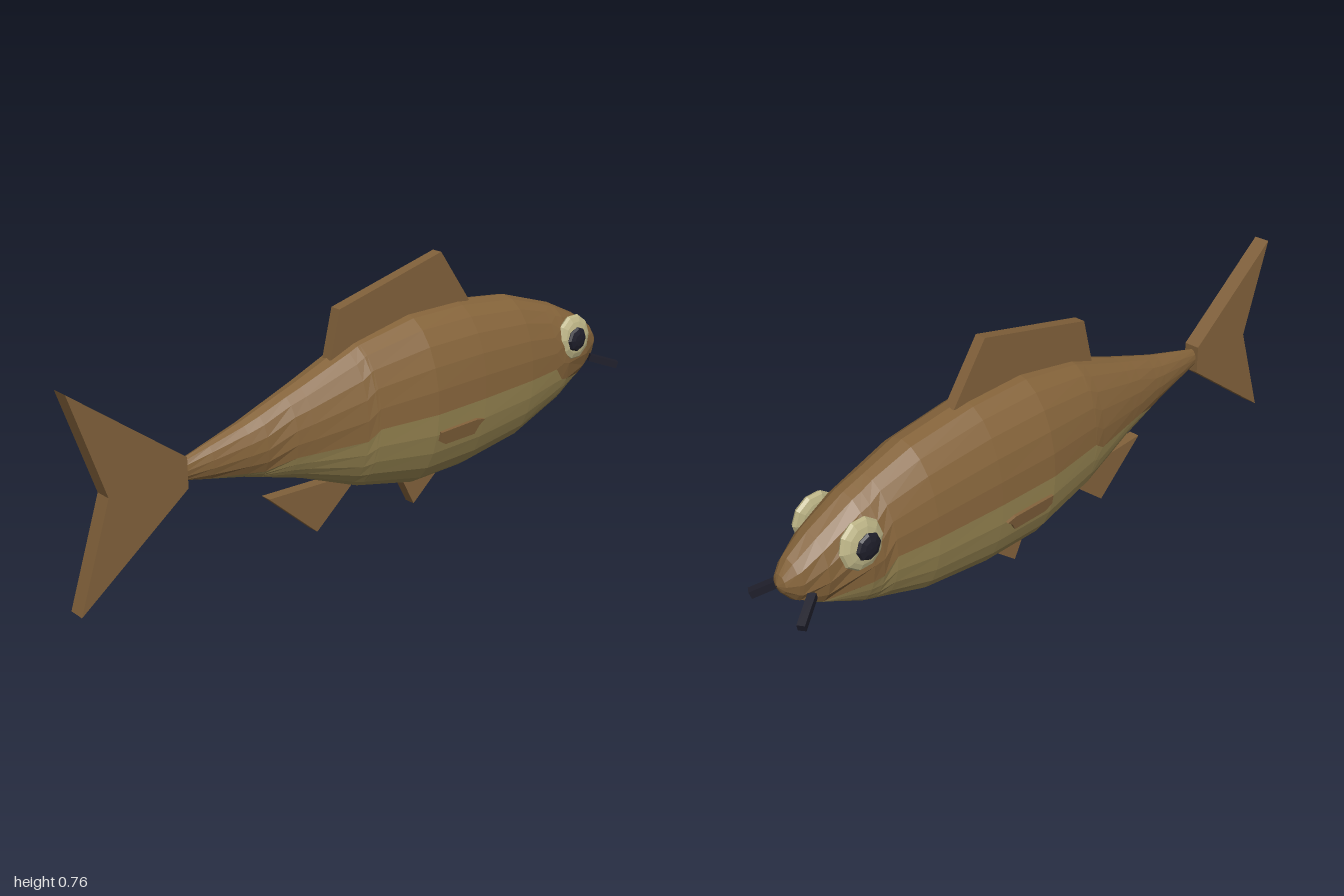
import * as THREE from 'three';

const brown = new THREE.MeshStandardMaterial({ name: 'brown skin', color: 0x84633a });
const finBrown = new THREE.MeshStandardMaterial({ name: 'fin brown', color: 0x80603a });
const olive = new THREE.MeshStandardMaterial({ name: 'pale belly', color: 0x958350 });
const cream = new THREE.MeshStandardMaterial({ name: 'eye cream', color: 0xbab284 });
const dark = new THREE.MeshStandardMaterial({ name: 'dark', color: 0x1e1e2a });

// Body sections: x, top, bottom, half width
const SECTIONS = [
  [-0.662, 0.343, 0.341, 0.001], [-0.66, 0.372, 0.312, 0.018], [-0.47, 0.425, 0.268, 0.05],
  [-0.28, 0.49, 0.21, 0.085], [-0.08, 0.565, 0.128, 0.122], [0.13, 0.605, 0.078, 0.15],
  [0.33, 0.603, 0.078, 0.146], [0.55, 0.575, 0.107, 0.133], [0.75, 0.51, 0.178, 0.106],
  [0.87, 0.452, 0.238, 0.076], [0.94, 0.405, 0.28, 0.045], [0.968, 0.37, 0.315, 0.025],
  [0.978, 0.343, 0.338, 0.002],
];
// Height of the border between back and belly: x, y
const SEAM = [
  [-0.662, 0.3], [-0.58, 0.298], [-0.42, 0.28], [-0.33, 0.303], [-0.11, 0.303], [-0.07, 0.332],
  [0.68, 0.33], [0.72, 0.285], [0.87, 0.255], [0.93, 0.26], [0.978, 0.26],
];

// Linear lookup in a table sorted by its first column
function sample(table, x, col) {
  let i = 0;
  while (i < table.length - 2 && table[i + 1][0] < x) i++;
  const a = table[i], b = table[i + 1];
  return THREE.MathUtils.lerp(a[col], b[col], (x - a[0]) / (b[0] - a[0]));
}

// Faceted shell of the body, either above or below the seam
function bodyShell(isBelly) {
  const xs = [...new Set([...SECTIONS, ...SEAM].map(r => r[0]))].sort((a, b) => a - b);
  const n = 12;
  const rings = xs.map(x => {
    const top = sample(SECTIONS, x, 1), bottom = sample(SECTIONS, x, 2), w = sample(SECTIONS, x, 3);
    const c = (top + bottom) / 2, h = (top - bottom) / 2;
    const s = Math.asin(THREE.MathUtils.clamp((sample(SEAM, x, 1) - c) / h, -1, 1));
    const t0 = isBelly ? -Math.PI - s : s, t1 = isBelly ? s : Math.PI - s;
    return Array.from({ length: n + 1 }, (_, j) => {
      const t = t0 + (t1 - t0) * j / n;
      return new THREE.Vector3(x, c + h * Math.sin(t), w * Math.cos(t));
    });
  });
  const pos = [];
  const tri = (a, b, c) => {
    if (new THREE.Triangle(a, b, c).getArea() > 1e-8) pos.push(...a, ...b, ...c);
  };
  for (let i = 0; i < rings.length - 1; i++) {
    for (let j = 0; j < n; j++) {
      const a = rings[i][j], b = rings[i + 1][j], c = rings[i + 1][j + 1], d = rings[i][j + 1];
      tri(a, b, c);
      tri(a, c, d);
    }
  }
  const geo = new THREE.BufferGeometry();
  geo.setAttribute('position', new THREE.Float32BufferAttribute(pos, 3));
  geo.computeVertexNormals();
  return geo;
}

// Flat plate from an outline in x and y, centred on z
function plate(points, thickness) {
  const shape = new THREE.Shape(points.map(p => new THREE.Vector2(...p)));
  return new THREE.ExtrudeGeometry(shape, { depth: thickness, bevelEnabled: false })
    .translate(0, 0, -thickness / 2);
}

// Faceted ellipsoid
function ellipsoid(rx, ry, rz, sides, rows) {
  const geo = new THREE.SphereGeometry(1, sides, rows).rotateX(Math.PI / 2).scale(rx, ry, rz).toNonIndexed();
  geo.computeVertexNormals();
  return geo;
}

export function createModel() {
  const group = new THREE.Group();
  const add = (name, geo, mat, x = 0, y = 0, z = 0) => {
    const mesh = new THREE.Mesh(geo, mat);
    mesh.name = name;
    mesh.position.set(x, y, z);
    group.add(mesh);
    return mesh;
  };

  add('back', bodyShell(false), brown);
  add('belly', bodyShell(true), olive);

  // Fins on the centre line
  add('tailFin', plate([[-0.66, 0.385], [-1, 0.64], [-0.9, 0.342], [-1, 0.043], [-0.66, 0.297]], 0.05), finBrown);
  add('dorsalFin', plate([[-0.165, 0.53], [-0.13, 0.67], [0.26, 0.763], [0.38, 0.595], [0.1, 0.56]], 0.034), finBrown);
  add('analFin', plate([[-0.39, 0.18], [-0.22, 0.028], [-0.09, 0.135], [-0.15, 0.17]], 0.034), finBrown);
  add('pelvicFin', plate([[0.11, 0.095], [0.16, 0], [0.27, 0.09]], 0.034), finBrown);

  for (const side of [1, -1]) {
    const label = side > 0 ? 'left' : 'right';

    // Small side fin lying almost flush with the flank
    const fin = plate([[0.14, 0.275], [0.14, 0.245], [0.165, 0.23], [0.285, 0.23], [0.3, 0.255], [0.32, 0.27], [0.29, 0.278]], 0.009);
    fin.translate(-0.23, -0.255, 0);
    add(label + 'SideFin', fin, finBrown, 0.23, 0.255, side * 0.144).rotation.x = side * 0.19;

    // Eye and pupil
    const eye = add(label + 'Eye', ellipsoid(0.071, 0.073, 0.023, 10, 8), cream, 0.778, 0.41, side * 0.092);
    eye.rotation.x = side * -0.1;
    add(label + 'Pupil', ellipsoid(0.04, 0.04, 0.014, 8, 6), dark, 0.772, 0.408, side * 0.113);

    // Whisker from the corner of the mouth
    const from = new THREE.Vector3(0.91, 0.303, side * 0.052);
    const to = new THREE.Vector3(0.99, 0.272, side * 0.103);
    const whisker = add(label + 'Whisker', new THREE.BoxGeometry(0.022, 0.022, from.distanceTo(to)), dark);
    whisker.position.copy(from).lerp(to, 0.5);
    whisker.lookAt(to);
  }
  return group;
}
